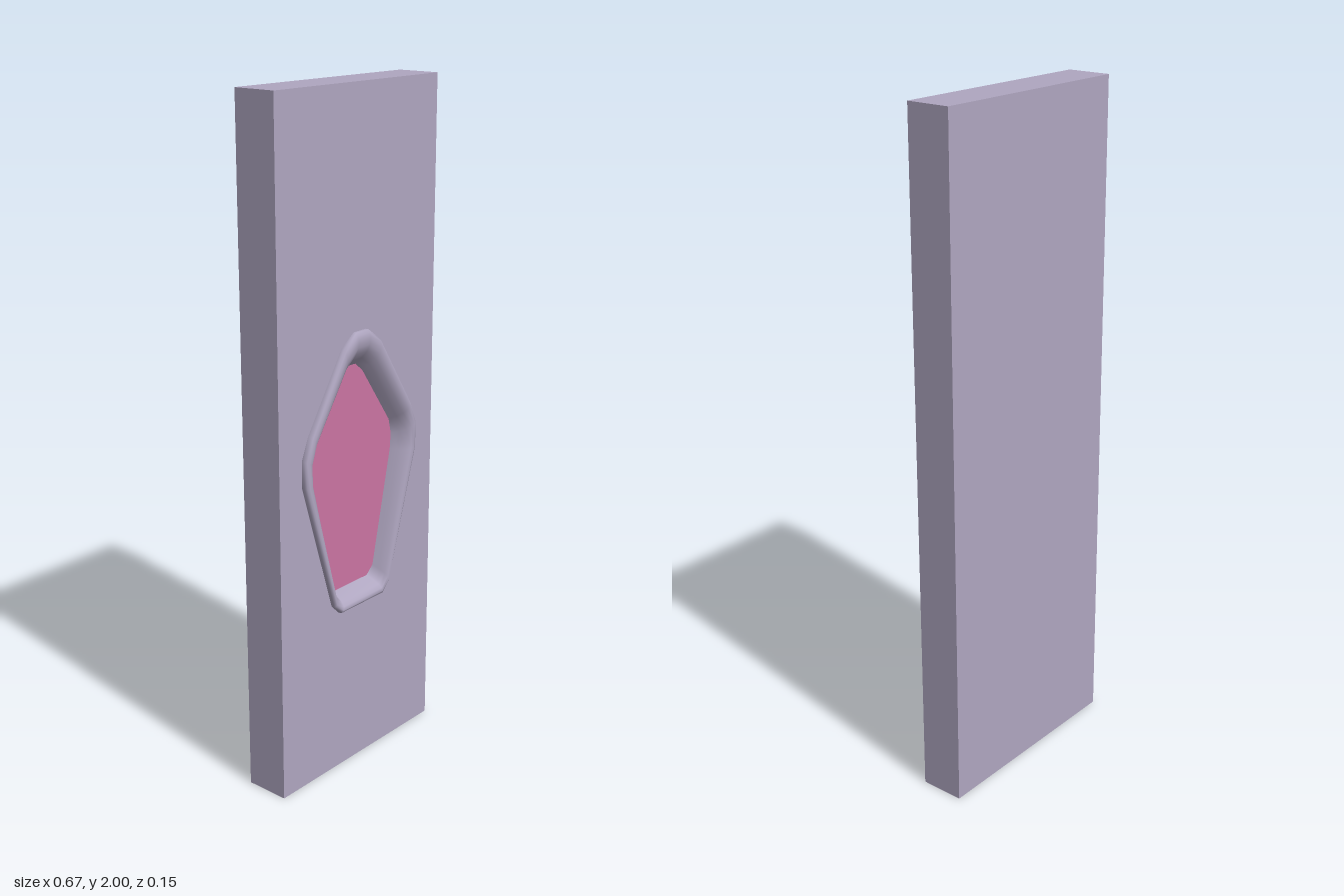
import * as THREE from 'three';

const FRONT = 0.056, BACK = -0.077, RECESS = 0.022;

// Right halves of the frame's outer outline and the inset's outline, top to bottom
const OUTER = [[0.026, 1.328], [0.079, 1.29], [0.217, 1.074], [0.243, 1.01], [0.243, 0.931], [0.122, 0.534], [0.093, 0.505]];
const INNER = [[0.022, 1.222], [0.053, 1.196], [0.174, 1.021], [0.185, 0.975], [0.181, 0.926], [0.104, 0.58], [0.077, 0.555]];

// Frame cross-section: [position from outer to inner outline, z]
const SECTION = [[0, FRONT], [0, 0.066], [0.07, 0.072], [0.2, 0.075], [0.4, 0.073], [0.6, 0.063], [0.8, 0.045], [1, RECESS]];

// Closed clockwise outline blended between outer and inner, mirrored to both sides
function outline(t) {
  const half = OUTER.map(([x, y], i) => new THREE.Vector2(
    THREE.MathUtils.lerp(x, INNER[i][0], t), THREE.MathUtils.lerp(y, INNER[i][1], t)));
  const mirrored = half.map((p) => new THREE.Vector2(-p.x, p.y)).reverse();
  return [...half, ...mirrored];
}

function frameGeometry() {
  const positions = [], index = [];
  const n = OUTER.length * 2;
  SECTION.forEach(([t, z], row) => {
    outline(t).forEach((p, i) => {
      positions.push(p.x, p.y, z);
      if (row === 0) return;
      const j = (i + 1) % n, a = (row - 1) * n, b = row * n;
      index.push(a + i, b + i, a + j, a + j, b + i, b + j);
    });
  });
  const geometry = new THREE.BufferGeometry();
  geometry.setAttribute('position', new THREE.Float32BufferAttribute(positions, 3));
  geometry.setIndex(index);
  geometry.computeVertexNormals();
  return geometry;
}

export function createModel() {
  const model = new THREE.Group();
  model.name = 'panelWithInset';
  const lilac = new THREE.MeshStandardMaterial({ color: 0xafa6c0 });
  lilac.name = 'lilac';
  lilac.side = THREE.DoubleSide;
  const pink = new THREE.MeshStandardMaterial({ color: 0xca74a2 });
  pink.name = 'pink';

  const add = (name, geometry, material, z = 0) => {
    const mesh = new THREE.Mesh(geometry, material);
    mesh.name = name;
    mesh.position.z = z;
    model.add(mesh);
  };

  // Slab sides and back: a box without its front face
  const box = new THREE.BoxGeometry(0.667, 2, FRONT - BACK);
  box.translate(0, 1, (FRONT + BACK) / 2);
  const faces = Array.from(box.index.array);
  faces.splice(24, 6);
  box.setIndex(faces);
  box.clearGroups();
  add('slab', box, lilac);

  // Slab front with an opening hidden under the frame
  const w = 0.3335;
  const face = new THREE.Shape([[-w, 0], [w, 0], [w, 2], [-w, 2]].map(([x, y]) => new THREE.Vector2(x, y)));
  face.holes.push(new THREE.Path(outline(0.3)));
  add('slabFront', new THREE.ShapeGeometry(face), lilac, FRONT);

  // Rounded frame sloping down to the recessed inset
  add('frame', frameGeometry(), lilac);
  add('inset', new THREE.ShapeGeometry(new THREE.Shape(outline(1))), pink, RECESS);
  return model;
}
